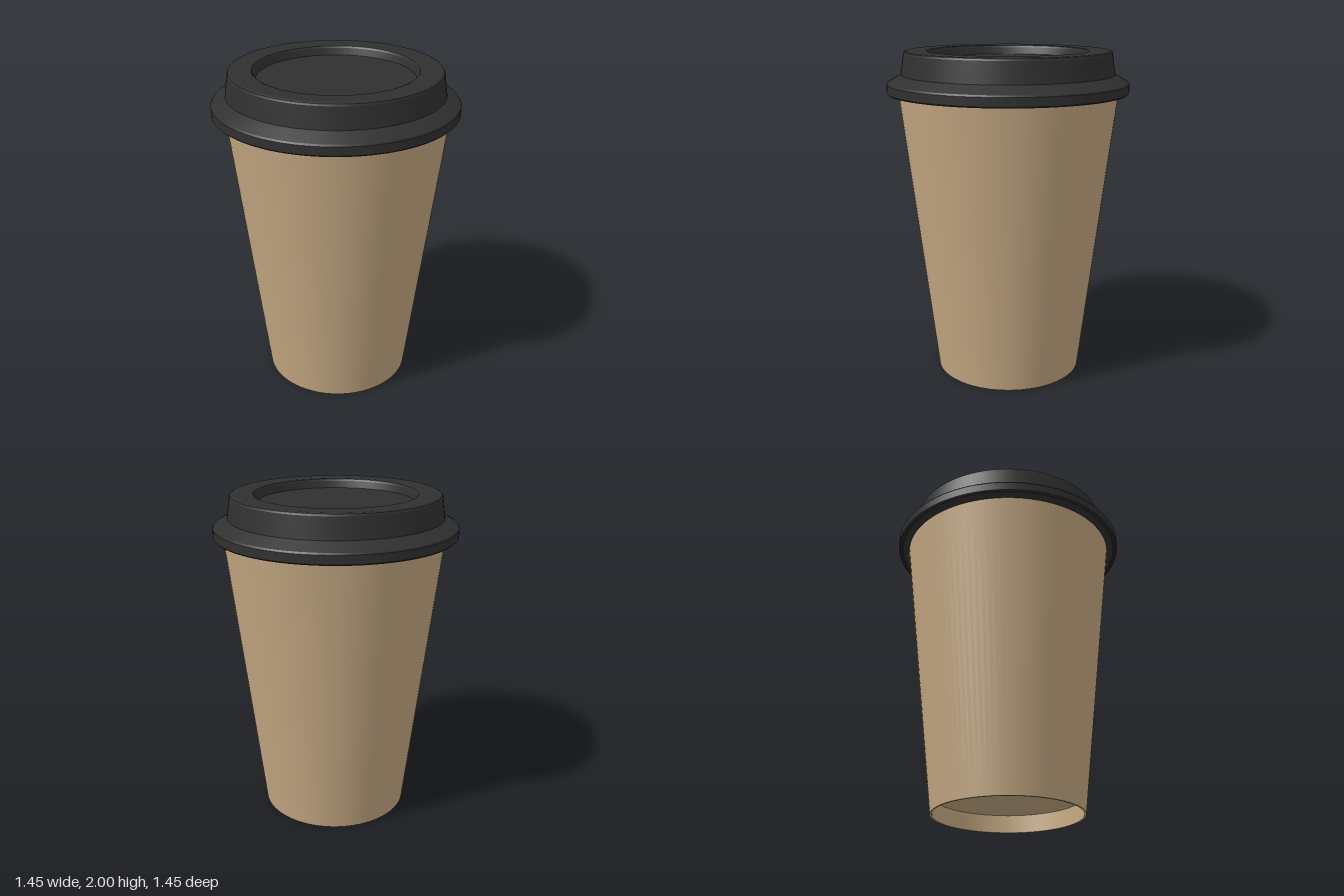
import * as THREE from 'three';
import { mergeGeometries } from 'three/addons/utils/BufferGeometryUtils.js';

const SIDES = 96;

// Revolve a [radius, y] profile, one band per segment so profile edges stay crisp
// while the surface remains smooth around the axis.
function turned(profile) {
  const bands = [];
  for (let i = 0; i < profile.length - 1; i++) {
    const pair = [profile[i], profile[i + 1]].map(([r, y]) => new THREE.Vector2(r, y));
    bands.push(new THREE.LatheGeometry(pair, SIDES));
  }
  return mergeGeometries(bands);
}

export function createModel() {
  const kraft = new THREE.MeshStandardMaterial({ color: 0xc4a882 });
  kraft.name = 'kraft brown paper';
  const black = new THREE.MeshStandardMaterial({ color: 0x303030 });
  black.name = 'black plastic';

  const model = new THREE.Group();
  model.name = 'takeawayCup';
  const add = (name, profile, material) => {
    const mesh = new THREE.Mesh(turned(profile), material);
    mesh.name = name;
    model.add(mesh);
    return mesh;
  };

  // Tapered paper wall with a thin foot ring around the raised base
  const wall = add('cupWall', [[0.447, 0.11], [0.441, 0], [0.4525, 0], [0.668, 1.83]], kraft);
  const base = add('cupBase', [[0, 0.11], [0.447, 0.11]], kraft);
  wall.position.x = base.position.x = 0.01;

  // Snap-on rim: flat underside, small chamfers, sloping shoulder
  add('lidRim', [
    [0.64, 1.755], [0.7, 1.755], [0.705, 1.75], [0.717, 1.75], [0.725, 1.758],
    [0.725, 1.808], [0.718, 1.818], [0.64, 1.862],
  ], black);

  // Raised dome with a bevelled top edge
  add('lidDome', [[0.64, 1.862], [0.622, 1.985], [0.617, 1.995], [0.606, 2], [0.493, 2]], black);

  // Sunken drinking panel
  add('lidRecess', [[0.493, 2], [0.482, 1.996], [0.475, 1.985], [0.463, 1.944], [0, 1.944]], black);

  return model;
}
